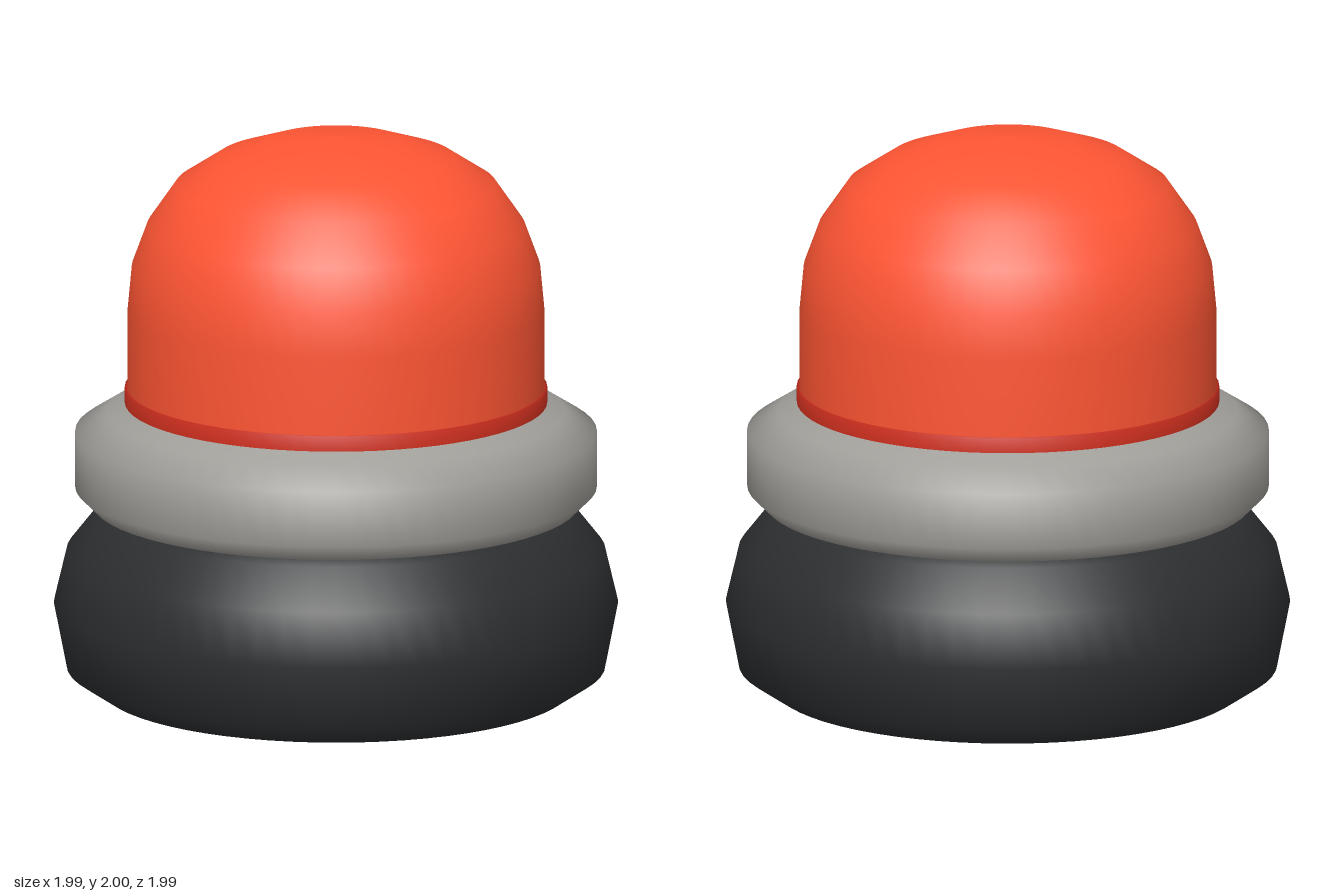
import * as THREE from 'three';

const SEGMENTS = 64;

// Turned shell; the profile is [radius, height] pairs from bottom to top
function turned(name, color, profile) {
  const points = profile.map(([r, y]) => new THREE.Vector2(r, y));
  const material = new THREE.MeshStandardMaterial({ color, side: THREE.DoubleSide });
  const mesh = new THREE.Mesh(new THREE.LatheGeometry(points, SEGMENTS), material);
  mesh.name = name;
  return mesh;
}

export function createModel() {
  const group = new THREE.Group();
  group.name = 'beaconLight';
  const orange = 0xff5533, red = 0xd0301f, grey = 0xa09e99, black = 0x2c2e30;

  // Hollow rubber foot, open at the bottom
  group.add(turned('base', black, [
    [0.83, 0], [0.95, 0.08], [0.995, 0.31], [0.95, 0.5], [0.84, 0.64], [0.77, 0.67],
  ]));

  // Bevelled metal ring, open underneath around the lens
  group.add(turned('collar', grey, [
    [0.86, 0.67], [0.92, 0.73], [0.92, 0.93], [0.81, 1.0], [0.745, 1.035],
  ]));

  // Plate that closes the inside of the base
  const plate = new THREE.Mesh(
    new THREE.CircleGeometry(0.765, SEGMENTS),
    new THREE.MeshStandardMaterial({ color: grey, side: THREE.DoubleSide })
  );
  plate.name = 'innerPlate';
  plate.rotation.x = Math.PI / 2;
  plate.position.y = 0.672;
  group.add(plate);

  // Thin band where the lens meets the collar
  group.add(turned('lensBand', red, [
    [0.745, 1.03], [0.745, 1.09], [0.73, 1.09],
  ]));

  // Domed lens, reaching down inside the collar
  group.add(turned('lens', orange, [
    [0.735, 0.675], [0.735, 1.05], [0.735, 1.37], [0.72, 1.53], [0.665, 1.68],
    [0.565, 1.825], [0.42, 1.92], [0.24, 1.98], [0, 2],
  ]));

  return group;
}
